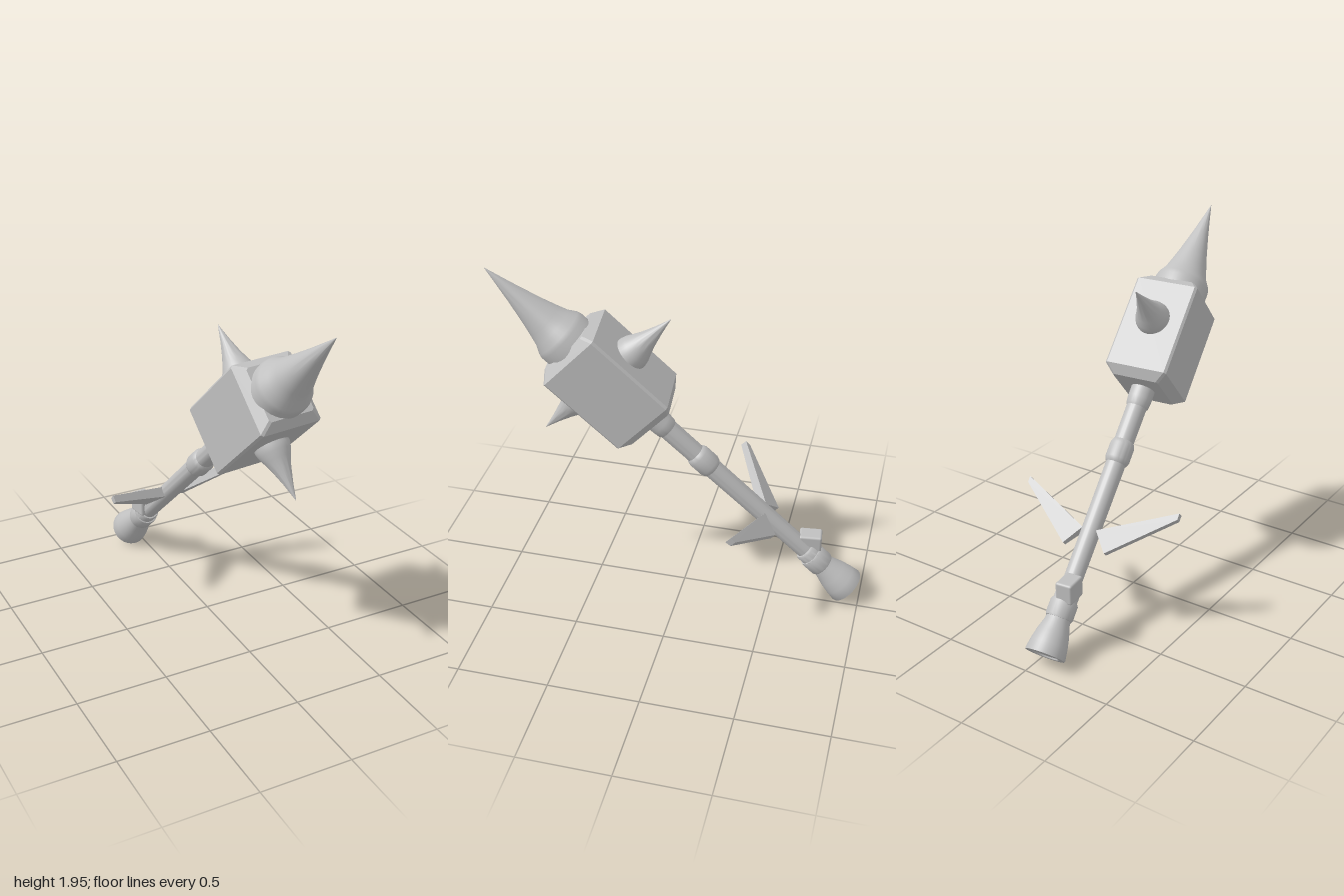
import * as THREE from 'three';
import { toCreasedNormals } from 'three/addons/utils/BufferGeometryUtils.js';
import { ConvexGeometry } from 'three/addons/geometries/ConvexGeometry.js';
import { RoundedBoxGeometry } from 'three/addons/geometries/RoundedBoxGeometry.js';

const steel = new THREE.MeshStandardMaterial({ color: 0xc0c0c0 });
steel.name = 'plain grey';

function part(name, geometry, parent) {
  const mesh = new THREE.Mesh(geometry, steel);
  mesh.name = name;
  parent.add(mesh);
  return mesh;
}

// Turned part from [radius, height] pairs, bottom to top
function turned(name, profile, parent) {
  const points = profile.map(([r, h]) => new THREE.Vector2(r, h));
  return part(name, toCreasedNormals(new THREE.LatheGeometry(points, 40), 0.6), parent);
}

// Block along y with narrowed ends and slightly bevelled long edges
function headGeometry(w, h, d, chamfer, bevel) {
  const points = [];
  for (const sx of [-1, 1]) for (const sy of [-1, 1]) for (const sz of [-1, 1]) {
    for (const inset of [0, chamfer]) {
      const y = sy * (h / 2 - chamfer + inset);
      const x = w / 2 - inset, z = d / 2 - inset;
      points.push(new THREE.Vector3(sx * (x - bevel), y, sz * z));
      points.push(new THREE.Vector3(sx * x, y, sz * (z - bevel)));
    }
  }
  return new ConvexGeometry(points);
}

// Swept guard blade: four corners [x, y, half thickness]
function bladeGeometry(side) {
  const corners = [[0.04, 0.69, 0.03], [0.122, 0.585, 0.018], [0.447, 0.855, 0.018], [0.447, 0.89, 0.02]];
  const points = [];
  for (const [x, y, t] of corners) {
    for (const s of [-1, 1]) points.push(new THREE.Vector3(side * x, y, s * t));
  }
  return new ConvexGeometry(points);
}

export function createModel() {
  const model = new THREE.Group();
  model.name = 'spikedMace';

  // Everything on the slanted shaft axis; local y runs from pommel to tip
  const mace = new THREE.Group();
  mace.name = 'mace';
  const axis = new THREE.Vector3(0.2, 1.87, 1.925).normalize();
  const front = new THREE.Vector3(0.081, -0.72, 0.69);
  const side = new THREE.Vector3().crossVectors(axis, front).normalize();
  front.crossVectors(side, axis);
  mace.quaternion.setFromRotationMatrix(new THREE.Matrix4().makeBasis(side, axis, front));
  mace.position.set(-0.07, 0.08, -0.925);
  model.add(mace);

  // Pommel with a shallow recess underneath
  turned('pommel', [[0, 0.008], [0.07, 0.008], [0.075, 0], [0.106, 0], [0.108, 0.008],
    [0.1, 0.06], [0.087, 0.12], [0.068, 0.18], [0.064, 0.21], [0, 0.21]], mace);

  // Shaft and its rings
  turned('shaft', [[0.049, 0.15], [0.056, 1.56]], mace);
  turned('lowerRing', [[0.05, 0.2], [0.07, 0.2], [0.074, 0.21], [0.074, 0.285], [0.07, 0.295],
    [0.064, 0.295], [0.064, 0.335], [0.058, 0.345], [0.04, 0.345]], mace);
  turned('middleRing', [[0.05, 1.07], [0.06, 1.08], [0.067, 1.1], [0.067, 1.18], [0.06, 1.2], [0.05, 1.21]], mace);
  turned('neckRing', [[0.05, 1.4], [0.062, 1.42], [0.066, 1.46], [0.066, 1.56]], mace);

  // Head block
  part('head', headGeometry(0.36, 0.61, 0.385, 0.046, 0.012), mace).position.y = 1.823;

  // Long end spike on a rounded collar
  turned('endSpike', [[0.153, 2.08], [0.153, 2.17], [0.146, 2.195], [0.122, 2.235], [0.104, 2.29],
    [0.08, 2.37], [0.046, 2.5], [0.02, 2.61], [0.001, 2.693]], mace);

  // Front and back spikes
  for (const s of [-1, 1]) {
    const spike = turned(s > 0 ? 'frontSpike' : 'backSpike', [[0.095, 0.17], [0.094, 0.205],
      [0.086, 0.235], [0.07, 0.27], [0.05, 0.32], [0.025, 0.4], [0.001, 0.492]], mace);
    spike.rotation.x = s * Math.PI / 2;
    spike.position.y = 1.858;
  }

  // Guard blades
  for (const s of [-1, 1]) part(s > 0 ? 'leftBlade' : 'rightBlade', bladeGeometry(s), mace);

  // Small block on the back of the grip
  const block = part('gripBlock', new RoundedBoxGeometry(0.095, 0.115, 0.125, 2, 0.012), model);
  block.position.set(-0.07, 0.362, -0.705);
  block.rotation.y = 0.11;

  return model;
}
